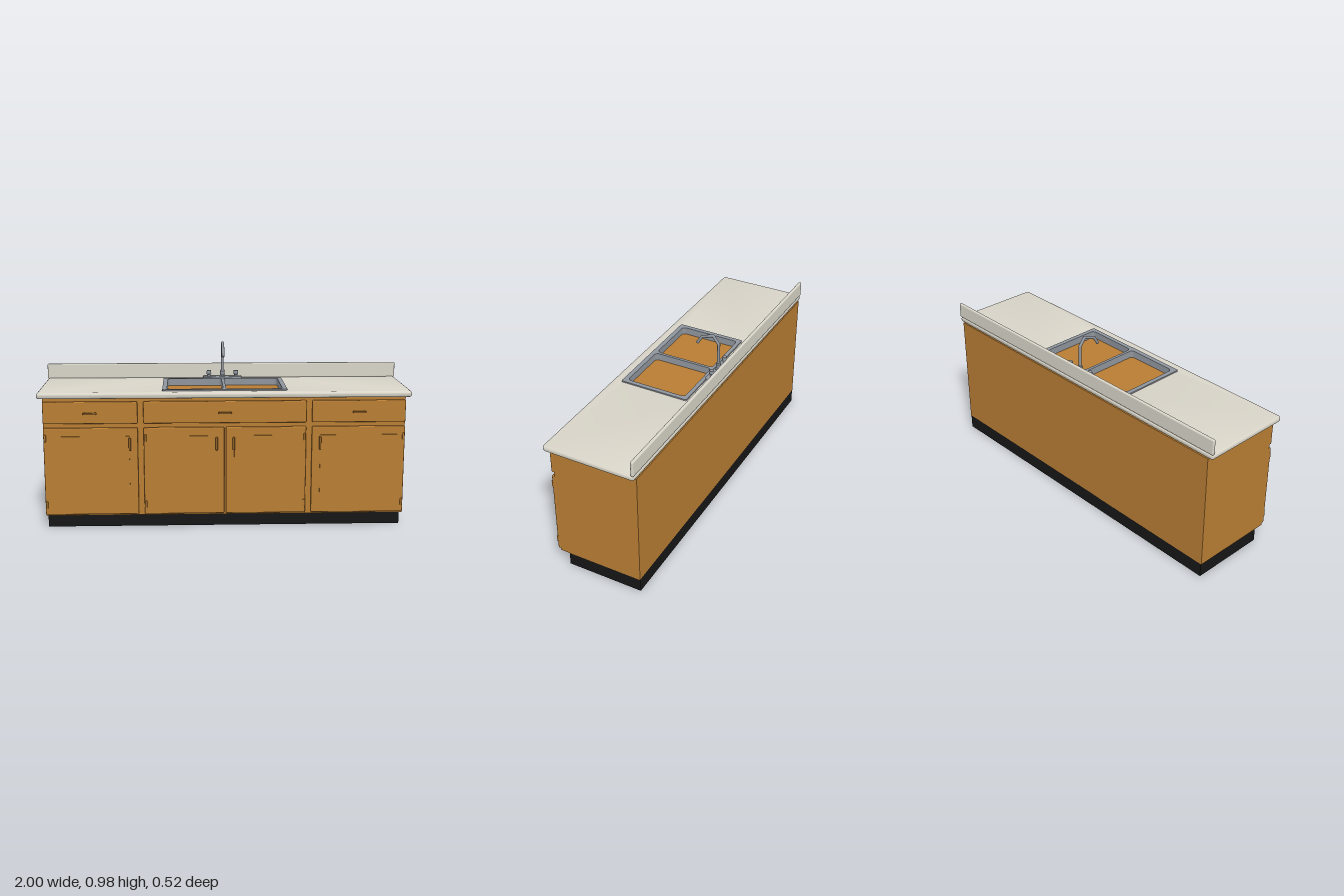
import * as THREE from 'three';
import { RoundedBoxGeometry } from 'three/addons/geometries/RoundedBoxGeometry.js';
import { toCreasedNormals } from 'three/addons/utils/BufferGeometryUtils.js';

const material = (name, color) => Object.assign(new THREE.MeshStandardMaterial({ color }), { name });

// Outline between two corners with rounded corners of radius r
function roundedRect(x0, y0, x1, y1, r, Type = THREE.Shape) {
  const s = new Type();
  s.absarc(x1 - r, y1 - r, r, 0, Math.PI / 2);
  s.absarc(x0 + r, y1 - r, r, Math.PI / 2, Math.PI);
  s.absarc(x0 + r, y0 + r, r, Math.PI, Math.PI * 1.5);
  s.absarc(x1 - r, y0 + r, r, Math.PI * 1.5, Math.PI * 2);
  s.closePath();
  return s;
}

// Extrudes a plan outline (x, -z) upwards
function slab(shape, options) {
  const g = new THREE.ExtrudeGeometry(shape, { curveSegments: 6, bevelEnabled: false, ...options });
  g.rotateX(-Math.PI / 2);
  return toCreasedNormals(g, 0.6);
}

export function createModel() {
  const wood = material('oak', 0xb87d34);
  const counterMat = material('counter cream', 0xd8d4c8);
  const steel = material('steel', 0x8f959d);
  const black = material('toe kick black', 0x161616);
  const root = new THREE.Group();
  root.name = 'sinkCabinet';

  function add(parent, name, geometry, mat, x = 0, y = 0, z = 0) {
    const m = new THREE.Mesh(geometry, mat);
    m.name = name;
    m.position.set(x, y, z);
    parent.add(m);
    return m;
  }
  // Box given by its extents; r rounds the edges
  function block(parent, name, mat, [x0, x1], [y0, y1], [z0, z1], r = 0) {
    const size = [x1 - x0, y1 - y0, z1 - z0];
    const g = r ? new RoundedBoxGeometry(...size, 3, r) : new THREE.BoxGeometry(...size);
    return add(parent, name, g, mat, (x0 + x1) / 2, (y0 + y1) / 2, (z0 + z1) / 2);
  }

  // Cabinet body
  block(root, 'toeKick', black, [-0.968, 0.968], [0, 0.08], [-0.257, 0.168]);
  block(root, 'cabinetBody', wood, [-0.972, 0.972], [0.078, 0.727], [-0.257, 0.218]);

  // Bar handle on two posts, vertical or horizontal
  function handle(parent, x, y, vertical) {
    const g = new THREE.Group();
    g.name = 'handle';
    g.position.set(x, y, 0);
    if (!vertical) g.rotation.z = Math.PI / 2;
    block(g, 'handleBar', wood, [-0.006, 0.006], [-0.036, 0.036], [0.25, 0.259], 0.004);
    for (const s of [-1, 1]) {
      const post = add(g, 'handlePost', new THREE.CylinderGeometry(0.004, 0.004, 0.022, 10), wood, 0, s * 0.029, 0.244);
      post.rotation.x = Math.PI / 2;
    }
    parent.add(g);
  }

  // Drawers
  for (const [x0, x1] of [[-0.972, -0.468], [-0.437, 0.437], [0.468, 0.972]]) {
    const drawer = new THREE.Group();
    drawer.name = 'drawer';
    block(drawer, 'drawerFront', wood, [x0, x1], [0.589, 0.708], [0.216, 0.235], 0.006);
    handle(drawer, (x0 + x1) / 2, 0.648, false);
    root.add(drawer);
  }

  // Doors: extents and the side that carries the hinges
  for (const [x0, x1, hinge] of [[-0.972, -0.468, -1], [-0.437, -0.004, -1], [0.004, 0.437, 1], [0.468, 0.972, 1]]) {
    const door = new THREE.Group();
    door.name = 'door';
    block(door, 'doorFront', wood, [x0, x1], [0.087, 0.566], [0.216, 0.235], 0.006);
    block(door, 'doorPanel', wood, [x0 + 0.045, x1 - 0.045], [0.132, 0.521], [0.23, 0.2385]);
    const hingeX = hinge < 0 ? x0 + 0.009 : x1 - 0.009;
    for (const y of [0.143, 0.511]) {
      block(door, 'hinge', wood, [hingeX - 0.006, hingeX + 0.006], [y - 0.019, y + 0.019], [0.23, 0.241], 0.003);
    }
    handle(door, hinge < 0 ? x1 - 0.042 : x0 + 0.042, 0.48, true);
    root.add(door);
  }

  // Countertop with rounded edge and sink cut-out
  const bevel = 0.014;
  const top = roundedRect(-1 + bevel, -0.259 + bevel, 1 - bevel, 0.257 - bevel, 0.004);
  top.holes.push(roundedRect(-0.335, -0.205, 0.335, 0.18, 0.01, THREE.Path));
  const counter = slab(top, { depth: 0.005, bevelEnabled: true, bevelSize: bevel, bevelThickness: bevel, bevelSegments: 4 });
  add(root, 'countertop', counter, counterMat, 0, 0.727 + bevel, 0);
  block(root, 'backsplash', counterMat, [-1, 1], [0.757, 0.843], [-0.257, -0.239], 0.007);

  // Sink rim and walls around two basins
  const rim = roundedRect(-0.323, -0.193, 0.323, 0.168, 0.01);
  const flange = roundedRect(-0.335, -0.207, 0.335, 0.18, 0.008);
  for (const [x0, x1] of [[-0.31, -0.008], [0.008, 0.31]]) {
    for (const s of [rim, flange]) s.holes.push(roundedRect(x0, -0.181, x1, 0.158, 0.02, THREE.Path));
  }
  add(root, 'sinkWalls', slab(rim, { depth: 0.034 }), steel, 0, 0.7265, 0);
  add(root, 'sinkRim', slab(flange, { depth: 0.008 }), steel, 0, 0.759, 0);

  // Faucet
  const faucet = new THREE.Group();
  faucet.name = 'faucet';
  faucet.position.z = -0.197;
  root.add(faucet);
  block(faucet, 'faucetPlate', steel, [-0.11, 0.11], [0.758, 0.774], [-0.024, 0.024], 0.006);
  const turned = (points) => toCreasedNormals(new THREE.LatheGeometry(points.map((p) => new THREE.Vector2(...p)), 16), 0.6);
  const base = [[0.019, 0.772], [0.017, 0.779], [0.012, 0.783], [0.014, 0.806], [0.01, 0.812], [0, 0.812]];
  add(faucet, 'spoutBase', turned(base), steel);
  const knob = [[0.009, 0.772], [0.009, 0.784], [0.014, 0.788], [0.012, 0.807], [0, 0.809]];
  for (const x of [-0.077, 0.077]) add(faucet, 'tapKnob', turned(knob), steel, x);

  // Angular spout made of straight lengths
  const path = [[0.8, 0], [0.926, 0], [0.969, 0.034], [0.945, 0.1], [0.903, 0.127]].map(([y, z]) => new THREE.Vector3(0, y, z));
  const spout = new THREE.CurvePath();
  for (let i = 1; i < path.length; i++) {
    const a = path[i - 1], b = path[i];
    const mid = a.clone().add(b).multiplyScalar(0.5);
    const pipe = add(faucet, 'spoutPipe', new THREE.CylinderGeometry(0.008, 0.008, a.distanceTo(b), 12), steel, ...mid);
    pipe.quaternion.setFromUnitVectors(new THREE.Vector3(0, 1, 0), b.clone().sub(a).normalize());
    if (i < path.length - 1) add(faucet, 'spoutElbow', new THREE.SphereGeometry(0.008, 12, 8), steel, ...b);
  }
  return root;
}
